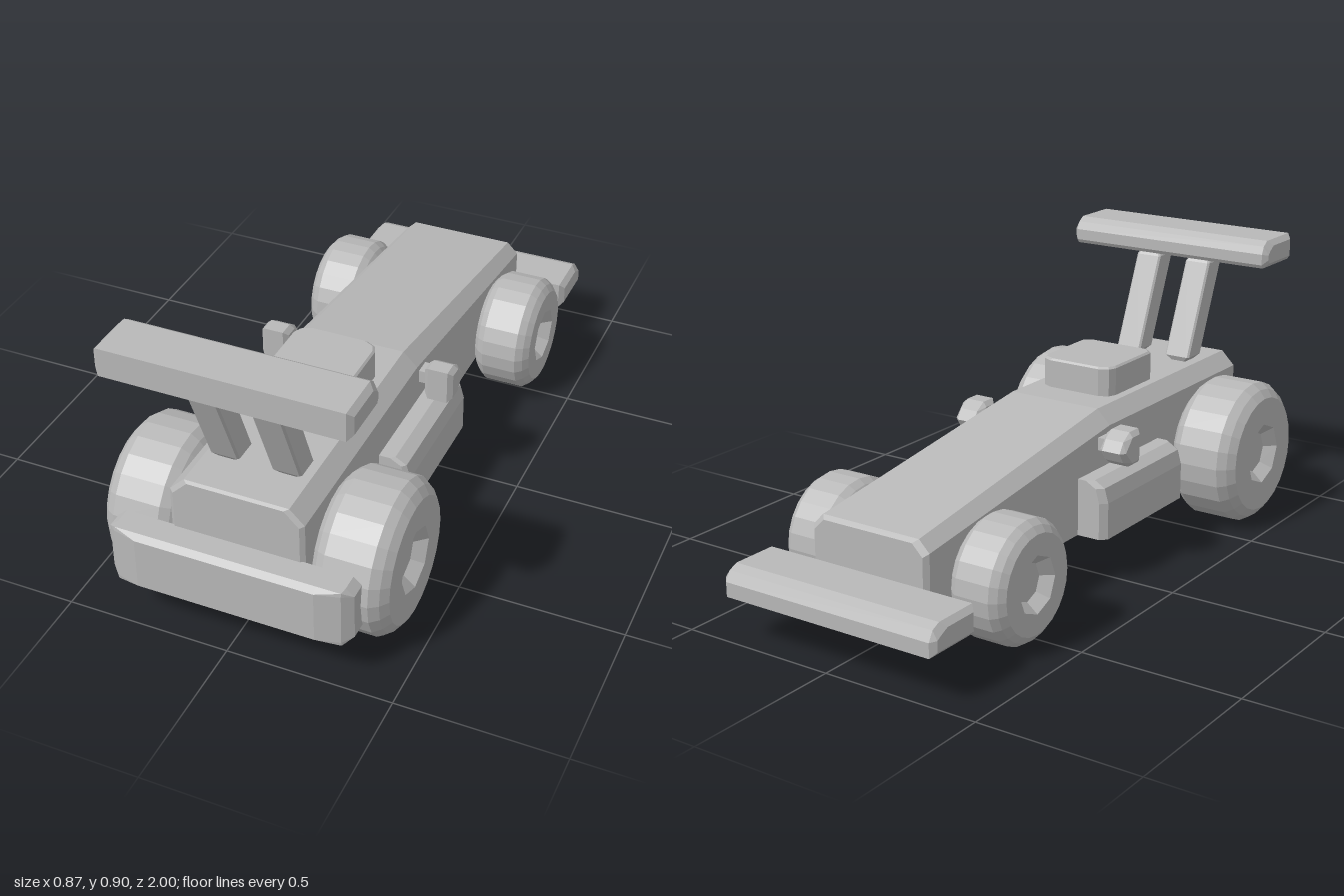
import * as THREE from 'three';
import { ConvexGeometry } from 'three/addons/geometries/ConvexGeometry.js';
import { mergeGeometries } from 'three/addons/utils/BufferGeometryUtils.js';

const grey = new THREE.MeshStandardMaterial({ color: 0xb8b8b8 });
grey.name = 'plain grey';

function addMesh(parent, name, geometry) {
  const mesh = new THREE.Mesh(geometry, grey);
  mesh.name = name;
  parent.add(mesh);
  return mesh;
}

// faceted solid around a list of [x, y, z] points
const solid = (points) => new ConvexGeometry(points.map((p) => new THREE.Vector3(...p)));

// side profile [z, y] spanned from x0 to x1, both ends bevelled inwards
function profileSolid(profile, x0, x1, bevel) {
  const cz = profile.reduce((s, p) => s + p[0], 0) / profile.length;
  const cy = profile.reduce((s, p) => s + p[1], 0) / profile.length;
  const shrink = (v, c) => v - Math.sign(v - c) * Math.min(bevel, Math.abs(v - c));
  const points = [];
  for (const [z, y] of profile) {
    points.push([x0 + bevel, y, z], [x1 - bevel, y, z]);
    points.push([x0, shrink(y, cy), shrink(z, cz)], [x1, shrink(y, cy), shrink(z, cz)]);
  }
  return solid(points);
}

// main hull from cross-sections: z, half width, roof height, roof chamfer
function hull() {
  const points = [];
  const sections = [
    [0.91, 0.19, 0.482, 0.045], [0.9, 0.203, 0.487, 0.045], [0.11, 0.203, 0.487, 0.045],
    [-0.795, 0.203, 0.36, 0.035], [-0.81, 0.19, 0.35, 0.035],
  ];
  for (const [z, w, top, c] of sections) {
    for (const s of [-1, 1]) {
      points.push([s * w, 0.14, z], [s * w, top - c, z], [s * (w - c), top, z]);
    }
  }
  return solid(points);
}

// tyre with chamfered shoulders and an octagonal hub recess on its +x side
function wheel(r, width, hub) {
  const h = width / 2;
  const side = r * 0.81;
  const tyre = new THREE.LatheGeometry([
    [0, -h], [side, -h], [r * 0.92, -h * 0.83], [r, -h * 0.6],
    [r, h * 0.6], [r * 0.92, h * 0.83], [side, h],
  ].map((p) => new THREE.Vector2(...p)), 24);
  const recess = new THREE.LatheGeometry([
    [hub, h], [hub * 0.68, h - 0.035], [0, h - 0.035],
  ].map((p) => new THREE.Vector2(...p)), 8);
  const ring = (radius, n) => Array.from({ length: n }, (_, i) => {
    const a = (i / n) * Math.PI * 2;
    return new THREE.Vector2(Math.cos(a) * radius, Math.sin(a) * radius);
  });
  const face = new THREE.Shape(ring(side, 24));
  face.holes.push(new THREE.Path(ring(hub, 8)));
  const wall = new THREE.ShapeGeometry(face).rotateX(-Math.PI / 2).translate(0, h, 0);
  const parts = [tyre, recess, wall].map((g) => {
    const flat = g.toNonIndexed();
    flat.computeVertexNormals();
    return flat;
  });
  return mergeGeometries(parts).rotateZ(-Math.PI / 2);
}

export function createModel() {
  const car = new THREE.Group();
  car.name = 'racingCar';

  addMesh(car, 'body', hull());

  // engine cover block with cut corners
  const cover = [];
  for (const s of [-1, 1]) {
    for (const [x, z] of [[0.13, 0.47], [0.11, 0.49], [0.13, 0.26], [0.12, 0.235], [0.09, 0.22]]) {
      cover.push([s * x, 0.47, z], [s * x, 0.574, z], [s * (x - 0.006), 0.58, z - Math.sign(z - 0.35) * 0.006]);
    }
  }
  addMesh(car, 'engineCover', solid(cover));

  // rear wing and nose wing
  addMesh(car, 'rearWing', profileSolid([
    [0.965, 0.818], [0.965, 0.905], [0.815, 0.905], [0.793, 0.89], [0.782, 0.865], [0.782, 0.83], [0.79, 0.818],
  ], -0.37, 0.37, 0.016));
  addMesh(car, 'noseWing', profileSolid([
    [-0.81, 0.137], [-0.81, 0.225], [-0.955, 0.225], [-0.983, 0.212], [-1, 0.182], [-1, 0.137],
  ], -0.37, 0.37, 0.016));

  // rear bumper, rounded in plan with trimmed corners
  const bumper = [];
  for (const s of [-1, 1]) {
    for (const [x, z, trim] of [[0.37, 0.905, 0.022], [0.37, 0.955, 0.022], [0.342, 0.982, 0.012], [0.27, 1, 0.012]]) {
      bumper.push([s * x, 0.133 + trim, z], [s * x, 0.32 - trim, z]);
      const inset = Math.min(x, 0.345);
      bumper.push([s * inset, 0.133, Math.min(z, 0.98)], [s * inset, 0.32, Math.min(z, 0.98)]);
    }
  }
  addMesh(car, 'rearBumper', solid(bumper));

  for (const s of [-1, 1]) {
    const side = s > 0 ? 'left' : 'right';

    // leaning wing strut, narrower at both ends
    const strut = [];
    for (const [y, z0, z1, w] of [
      [0.485, 0.708, 0.768, 0.027], [0.503, 0.7, 0.783, 0.045],
      [0.8, 0.822, 0.906, 0.045], [0.825, 0.84, 0.904, 0.027],
    ]) {
      for (const e of [-1, 1]) {
        strut.push([s * 0.094 + e * w, y, z0 + 0.006], [s * 0.094 + e * w, y, z1 - 0.006]);
        strut.push([s * 0.094 + e * (w - 0.006), y, z0], [s * 0.094 + e * (w - 0.006), y, z1]);
      }
    }
    addMesh(car, side + 'WingStrut', solid(strut));

    // side pod with sloped outer shoulder
    const pod = [];
    for (const [z, d] of [[0.4, 0.012], [0.388, 0], [-0.045, 0], [-0.065, 0.02]]) {
      pod.push([s * 0.19, 0.14, z], [s * 0.19, 0.32, z]);
      pod.push([s * (0.298 - d), 0.14, z], [s * (0.298 - d), 0.255, z]);
      pod.push([s * (0.285 - d), 0.3, z], [s * (0.25 - d), 0.32, z]);
    }
    addMesh(car, side + 'SidePod', solid(pod));

    // mirror on a short stalk
    const mirror = new THREE.Group();
    mirror.name = side + 'Mirror';
    car.add(mirror);
    const x0 = s > 0 ? 0.225 : -0.315;
    addMesh(mirror, 'mirrorHousing', profileSolid([
      [0.115, 0.342], [0.115, 0.45], [0.065, 0.45], [0.03, 0.427], [0.01, 0.395], [0.03, 0.362], [0.06, 0.342],
    ], x0, x0 + 0.09, 0.014));
    const stalk = addMesh(mirror, 'mirrorStalk', new THREE.BoxGeometry(0.07, 0.04, 0.05));
    stalk.position.set(s * 0.21, 0.4, 0.07);

    // big rear wheels, smaller nose wheels
    for (const [name, r, width, hub, x, y, z] of [
      ['RearWheel', 0.231, 0.23, 0.1, 0.32, 0.231, 0.685],
      ['NoseWheel', 0.184, 0.185, 0.088, 0.295, 0.193, -0.552],
    ]) {
      const w = addMesh(car, side + name, wheel(r, width, hub));
      w.position.set(s * x, y, z);
      if (s < 0) w.rotation.y = Math.PI;
    }
  }
  return car;
}
